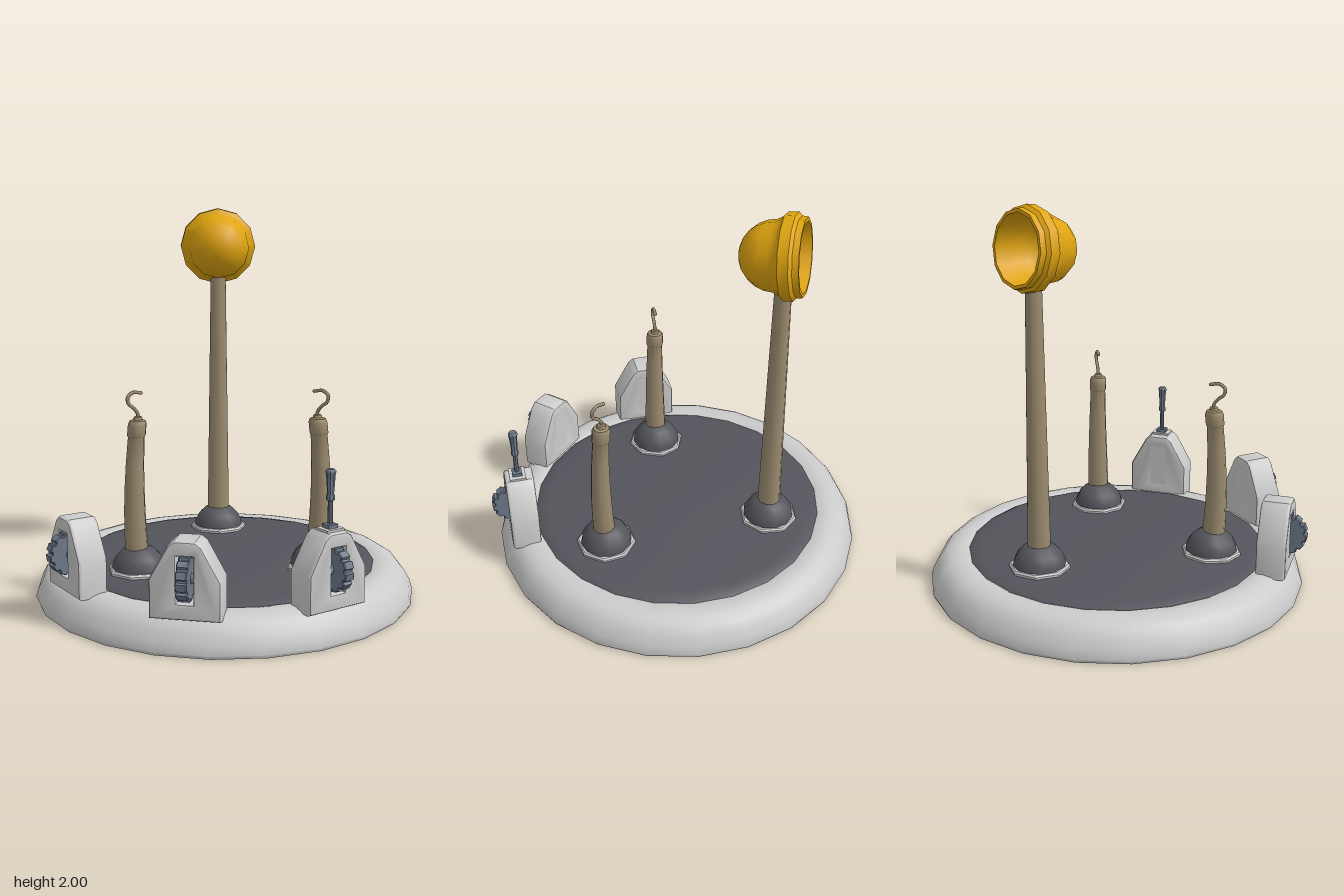
import * as THREE from 'three';
import { toCreasedNormals } from 'three/addons/utils/BufferGeometryUtils.js';

const mat = (color) => new THREE.MeshStandardMaterial({ color });
const grey = mat(0xcccccc);
const dark = mat(0x54545c);
const tan = mat(0x9c8c70);
const metal = mat(0x6e7a8a);
const yellow = mat(0xe0a510);

function add(parent, name, geometry, material, x = 0, y = 0, z = 0) {
  const mesh = new THREE.Mesh(geometry, material);
  mesh.name = name;
  mesh.position.set(x, y, z);
  parent.add(mesh);
  return mesh;
}

const lathe = (points, sides, crease = 0.7) => toCreasedNormals(
  new THREE.LatheGeometry(points.map(([r, y]) => new THREE.Vector2(r, y)), sides), crease);

const polygon = (points, Type = THREE.Shape) =>
  new Type(points.map(([x, y]) => new THREE.Vector2(x, y)));

// Socket: octagonal collar around a ball joint set into the floor
function addSocket(group) {
  add(group, 'socketRing', lathe([
    [0.125, 0.17], [0.156, 0.17], [0.156, 0.195], [0.148, 0.204], [0.132, 0.204], [0.125, 0.17],
  ], 8, 0.4), grey);
  add(group, 'socketBall', new THREE.SphereGeometry(0.138, 12, 10), dark, 0, 0.185, 0);
}

// Short bent arm with a cap and a curled hook, curling toward +x
function addHookArm(group) {
  const arm = lathe([
    [0.06, 0.26], [0.057, 0.38], [0.054, 0.5], [0.05, 0.62], [0.046, 0.74], [0.042, 0.87],
    [0.047, 0.88], [0.047, 0.935], [0.04, 0.952], [0.024, 0.956], [0.02, 0.97], [0, 0.973],
  ], 10);
  const p = arm.attributes.position;
  for (let i = 0; i < p.count; i++) {
    p.setX(i, p.getX(i) - 0.02 + 0.14 * (p.getY(i) - 0.55) ** 2);
  }
  add(group, 'hookArm', arm, tan);
  const curve = new THREE.CatmullRomCurve3([
    [0.006, 0.95], [0.004, 0.985], [-0.018, 1.015], [-0.046, 1.038],
    [-0.051, 1.07], [-0.022, 1.093], [0.024, 1.087],
  ].map(([x, y]) => new THREE.Vector3(x, y, 0)));
  add(group, 'hook', new THREE.TubeGeometry(curve, 20, 0.009, 6), tan);
  add(group, 'hookTip', new THREE.SphereGeometry(0.009, 6, 4), tan, 0.024, 1.087, 0);
}

// Tall post carrying a hollow bell shade, its dome facing +x
function addLamp(group) {
  add(group, 'lampPost', new THREE.CylinderGeometry(0.042, 0.061, 1.36, 10), tan, 0, 0.94, 0);
  const outer = [], inner = [];
  for (let i = 0; i <= 6; i++) {
    const a = (i / 6) * Math.PI / 2;
    outer.push([0.17 * Math.cos(a), 0.05 + 0.17 * Math.sin(a)]);
    inner.unshift([0.152 * Math.cos(a), 0.04 + 0.152 * Math.sin(a)]);
  }
  const shade = add(group, 'lampShade', lathe([
    [0.17, -0.095], [0.187, -0.095], [0.19, -0.065], [0.207, -0.05], [0.207, 0.0], [0.185, 0.018],
    ...outer, ...inner, [0.17, -0.095],
  ], 12, 0.6), yellow, 0, 1.79, 0);
  shade.rotation.z = -Math.PI / 2 - 0.09;
}

// Toothed thumb wheel, axis along x
function wheelGeometry() {
  const teeth = 12, points = [];
  for (let i = 0; i < teeth; i++) {
    [[0.0, 0.103], [0.5, 0.103], [0.6, 0.091], [0.9, 0.091]].forEach(([t, r]) => {
      const a = ((i + t) / teeth) * Math.PI * 2;
      points.push([r * Math.cos(a), r * Math.sin(a)]);
    });
  }
  const g = new THREE.ExtrudeGeometry(polygon(points), {
    depth: 0.044, bevelEnabled: true, bevelThickness: 0.005, bevelSize: 0.004, bevelSegments: 1,
  });
  return g.translate(0, 0, -0.022).rotateY(Math.PI / 2);
}

// Control housing on the rim, its slotted face pointing to +z
function addConsole(group) {
  const shape = polygon([
    [-0.155, 0.165], [0.155, 0.165], [0.155, 0.335], [0.07, 0.488], [0.045, 0.507],
    [-0.045, 0.507], [-0.07, 0.488], [-0.155, 0.335],
  ]);
  shape.holes.push(polygon([[-0.05, 0.22], [-0.05, 0.46], [0.05, 0.46], [0.05, 0.22]], THREE.Path));
  const body = new THREE.ExtrudeGeometry(shape, {
    depth: 0.114, bevelEnabled: true, bevelThickness: 0.018, bevelSize: 0.012, bevelSegments: 3,
  });
  add(group, 'consoleBody', toCreasedNormals(body, 0.6), grey, 0, 0, 0.803);
  add(group, 'consoleBack', new THREE.BoxGeometry(0.11, 0.26, 0.02), grey, 0, 0.34, 0.796);
  add(group, 'thumbWheel', wheelGeometry(), metal, 0, 0.345, 0.907);
  const axle = add(group, 'wheelAxle', new THREE.CylinderGeometry(0.025, 0.025, 0.1, 8), metal, 0, 0.345, 0.907);
  axle.rotation.z = Math.PI / 2;
}

// Upright hand lever on top of a console
function addLever(group) {
  add(group, 'leverPlate', new THREE.BoxGeometry(0.1, 0.016, 0.085), grey, 0, 0.522, 0.867);
  add(group, 'leverFoot', new THREE.BoxGeometry(0.055, 0.025, 0.05), metal, 0, 0.536, 0.867);
  add(group, 'leverGrip', lathe([
    [0, 0.52], [0.013, 0.52], [0.012, 0.655], [0.02, 0.66], [0.02, 0.68], [0.016, 0.69],
    [0.022, 0.78], [0.024, 0.785], [0.024, 0.798], [0.018, 0.805], [0, 0.805],
  ], 8), metal, 0, 0, 0.867);
}

export function createModel() {
  const model = new THREE.Group();
  model.name = 'controlPlatform';
  model.position.set(0.01, 0, -0.015);
  const root = new THREE.Group();
  root.name = 'platform';
  root.add(model);

  // Rounded rim and the dark floor it holds
  const rim = add(model, 'baseRim', lathe([
    [0.785, 0], [0.985, 0], [0.991, 0.015], [0.977, 0.06], [0.953, 0.105], [0.925, 0.14],
    [0.89, 0.162], [0.85, 0.172], [0.8, 0.172], [0.775, 0.16], [0.775, 0.05], [0.785, 0],
  ], 24), grey);
  const floor = add(model, 'floor', lathe([
    [0, 0.14], [0.7, 0.14], [0.72, 0.1], [0.75, 0.09], [0.765, 0.06], [0.785, 0.06],
    [0.785, 0.165], [0.76, 0.178], [0.72, 0.184], [0, 0.184],
  ], 24), dark);
  rim.rotation.y = floor.rotation.y = Math.PI / 24;

  // Three arms spaced evenly round the floor, each facing the centre
  [addHookArm, addHookArm, addLamp].forEach((addArm, i) => {
    const spoke = new THREE.Group();
    spoke.name = 'armSpoke';
    spoke.rotation.y = (i * Math.PI * 2) / 3;
    const arm = new THREE.Group();
    arm.name = addArm === addLamp ? 'lampArm' : 'hookArmAssembly';
    arm.position.x = -0.52;
    addSocket(arm);
    addArm(arm);
    spoke.add(arm);
    model.add(spoke);
  });

  // Three consoles over a quarter of the rim, the front one with a lever
  for (let i = 0; i < 3; i++) {
    const unit = new THREE.Group();
    unit.name = 'console';
    unit.rotation.y = (-i * Math.PI) / 4;
    addConsole(unit);
    if (i === 0) addLever(unit);
    model.add(unit);
  }
  return root;
}
